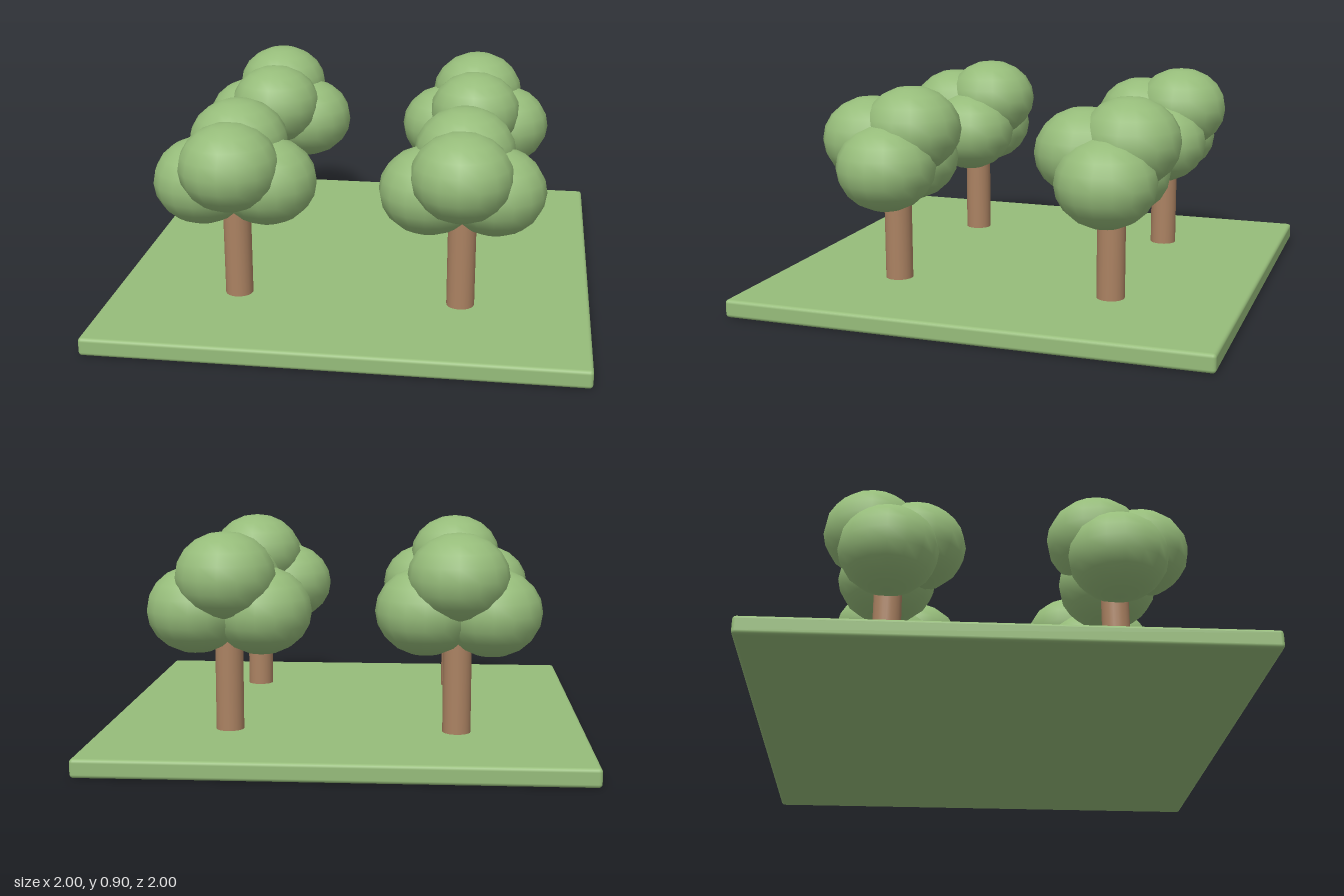
import * as THREE from 'three';
import { RoundedBoxGeometry } from 'three/addons/geometries/RoundedBoxGeometry.js';

export function createModel() {
  const green = new THREE.MeshStandardMaterial({ color: 0x96bc7a });
  green.name = 'leaf green';
  const brown = new THREE.MeshStandardMaterial({ color: 0xab8262 });
  brown.name = 'bark brown';

  const model = new THREE.Group();
  model.name = 'grove';

  function add(parent, name, geometry, material, x, y, z) {
    const mesh = new THREE.Mesh(geometry, material);
    mesh.name = name;
    mesh.position.set(x, y, z);
    parent.add(mesh);
    return mesh;
  }

  // Square lawn slab with softened edges
  add(model, 'lawn', new RoundedBoxGeometry(2, 0.075, 2, 3, 0.015), green, 0, 0.0375, 0);

  // Slightly flattened leaf ball, shared by all crowns
  const leafBall = new THREE.SphereGeometry(0.206, 16, 10).scale(1, 0.88, 1);
  const trunk = new THREE.CylinderGeometry(0.058, 0.058, 0.49, 20);

  // Crown balls: name and centre relative to the foot of the trunk
  const crown = [
    ['backLeaves', 0, 0.72, -0.072],
    ['frontLeaves', 0, 0.67, 0.112],
    ['leftLeaves', 0.13, 0.577, -0.01],
    ['rightLeaves', -0.137, 0.572, 0],
  ];

  // Four identical trees on a square
  for (const x of [-0.47, 0.467]) {
    for (const z of [-0.467, 0.47]) {
      const tree = new THREE.Group();
      tree.name = 'tree';
      tree.position.set(x, 0, z);
      add(tree, 'trunk', trunk, brown, 0, 0.305, 0);
      for (const [name, bx, by, bz] of crown) add(tree, name, leafBall, green, bx, by, bz);
      model.add(tree);
    }
  }
  return model;
}
